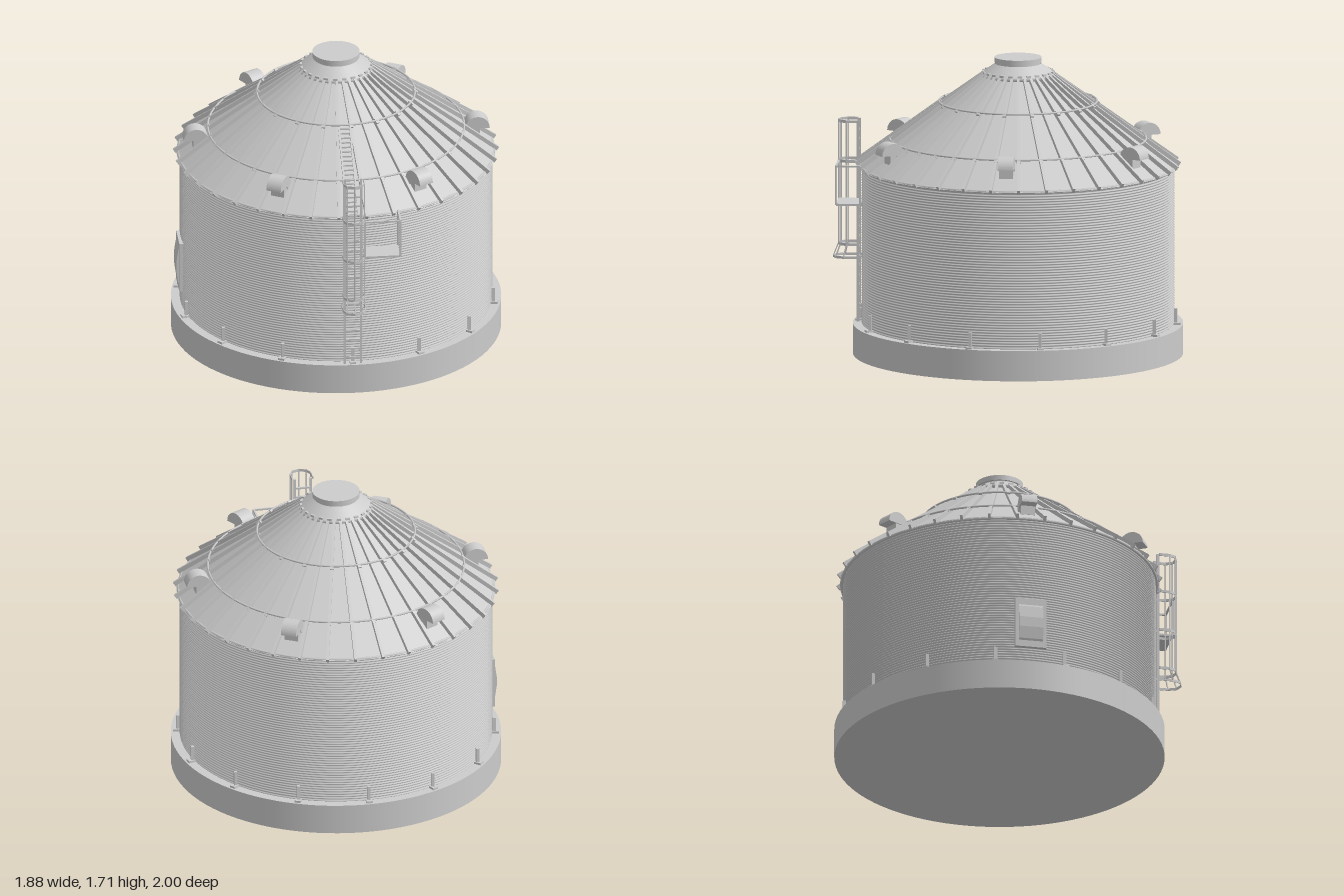
import * as THREE from 'three';

const mat = new THREE.MeshStandardMaterial({ color: 0xcccccc, side: THREE.DoubleSide });
const flat = new THREE.MeshStandardMaterial({ color: 0xcccccc, side: THREE.DoubleSide, flatShading: true });
const V = (x, y, z) => new THREE.Vector3(x, y, z);
const TAU = Math.PI * 2;

function add(parent, name, geo, x = 0, y = 0, z = 0, material = mat) {
  const m = new THREE.Mesh(geo, material);
  m.name = name;
  m.position.set(x, y, z);
  parent.add(m);
  return m;
}

function group(parent, name) {
  const g = new THREE.Group();
  g.name = name;
  parent.add(g);
  return g;
}

// Rectangular bar from a to b, w across and h deep
function bar(parent, name, a, b, w = 0.01, h = w) {
  const m = new THREE.Mesh(new THREE.BoxGeometry(w, h, a.distanceTo(b)), mat);
  m.name = name;
  m.position.copy(a).add(b).multiplyScalar(0.5);
  m.lookAt(b);
  parent.add(m);
}

// Point at angle t round the axis (t = 0 faces the front)
const polar = (r, y, t) => V(Math.sin(t) * r, y, Math.cos(t) * r);

// Roof height at radius r
const EAVE = 0.91, NECK = 0.2, Y0 = 1.083, Y1 = 1.6;
const roofY = r => Y0 + (Y1 - Y0) * (EAVE - r) / (EAVE - NECK);

function buildShell(root) {
  add(root, 'foundation', new THREE.CylinderGeometry(0.94, 0.94, 0.175, 96), 0, 0.0875, 0);

  // Corrugated wall
  const profile = [], waves = 60, steps = waves * 4;
  for (let i = 0; i <= steps; i++) {
    profile.push(new THREE.Vector2(0.885 + 0.005 * Math.sin(i / 4 * TAU), 0.175 + 0.91 * i / steps));
  }
  add(root, 'corrugatedWall', new THREE.LatheGeometry(profile, 72));

  // Anchor brackets round the foot of the wall
  const anchors = group(root, 'anchorBrackets');
  for (let i = 0; i < 14; i++) {
    const t = i / 14 * TAU;
    bar(anchors, 'anchorPost', polar(0.9, 0.175, t), polar(0.9, 0.27, t), 0.018);
    const foot = add(anchors, 'anchorFoot', new THREE.BoxGeometry(0.035, 0.012, 0.04));
    foot.position.copy(polar(0.908, 0.181, t));
    foot.rotation.y = t;
  }
}

function buildRoof(root) {
  const roof = group(root, 'roof');
  add(roof, 'roofPanels', new THREE.CylinderGeometry(NECK, EAVE, Y1 - Y0, 36, 1, true, TAU / 72),
    0, (Y0 + Y1) / 2, 0, flat);
  const eave = add(roof, 'eaveRing', new THREE.TorusGeometry(0.895, 0.01, 6, 72), 0, 1.085, 0);
  eave.rotation.x = Math.PI / 2;

  // Raised seams
  for (let i = 0; i < 36; i++) {
    const t = (i + 0.5) / 36 * TAU;
    bar(roof, 'roofRib', polar(0.92, roofY(0.92) + 0.012, t), polar(0.2, roofY(0.2) + 0.008, t), 0.016, 0.028);
  }

  // Walk rings with clamps
  for (const [r, y, clamps] of [[0.45, 1.455, 18], [0.73, 1.24, 36]]) {
    const ring = add(roof, 'roofRing', new THREE.TorusGeometry(r, 0.006, 6, 72), 0, y, 0);
    ring.rotation.x = Math.PI / 2;
    for (let i = 0; i < clamps; i++) {
      const t = (Math.floor(i * 36 / clamps) + 0.5) / 36 * TAU;
      bar(roof, 'ringClamp', polar(r + 0.012, y - 0.014, t), polar(r - 0.012, y + 0.006, t), 0.02, 0.014);
    }
  }

  // Peak collar, lid and bolts
  const cap = [[0.195, 1.595], [0.215, 1.605], [0.205, 1.62], [0.13, 1.672]].map(p => new THREE.Vector2(...p));
  add(roof, 'peakCollar', new THREE.LatheGeometry(cap, 48));
  add(roof, 'peakNeck', new THREE.CylinderGeometry(0.125, 0.125, 0.04, 48), 0, 1.675, 0);
  add(roof, 'peakLid', new THREE.CylinderGeometry(0.135, 0.135, 0.03, 48), 0, 1.694, 0);
  for (let i = 0; i < 24; i++) {
    const t = (i + 0.5) / 24 * TAU;
    const bolt = add(roof, 'collarBolt', new THREE.BoxGeometry(0.026, 0.012, 0.012));
    bolt.position.copy(polar(0.2, 1.625, t));
    bolt.rotation.y = t;
  }
}

// Hooded vents: half discs lying across the slope
function buildVents(root) {
  const vents = group(root, 'roofVents');
  const hood = new THREE.Shape();
  hood.moveTo(0.07, 0);
  hood.absarc(0, 0, 0.07, 0, Math.PI, false);
  hood.lineTo(-0.07, -0.02);
  hood.lineTo(-0.03, -0.02);
  hood.lineTo(-0.02, 0);
  const hoodGeo = new THREE.ExtrudeGeometry(hood, { depth: 0.09, bevelEnabled: false, curveSegments: 14 });
  hoodGeo.translate(0, 0, -0.045);
  for (let i = 0; i < 6; i++) {
    const vent = group(vents, 'roofVent');
    vent.rotation.y = i / 6 * TAU;
    add(vent, 'ventHood', hoodGeo, 0.805, 1.203, 0);
    add(vent, 'ventNeck', new THREE.BoxGeometry(0.07, 0.06, 0.08), 0.785, 1.178, 0);
  }
}

function buildDoor(root) {
  const door = group(root, 'door');
  door.position.x = -0.89;
  add(door, 'doorFrame', new THREE.BoxGeometry(0.04, 0.3, 0.18), 0.005, 0.43, 0);
  // Panel with its upper and lower ends tapering back to the wall
  const side = new THREE.Shape([[0, 0.285], [-0.02, 0.33], [-0.03, 0.4], [-0.03, 0.46], [-0.02, 0.53], [0, 0.575]]
    .map(p => new THREE.Vector2(...p)));
  const panel = new THREE.ExtrudeGeometry(side, { depth: 0.14, bevelEnabled: false });
  add(door, 'doorPanel', panel, 0, 0, -0.07);
}

function buildLadder(root) {
  const ladder = group(root, 'wallLadder');
  for (const s of [-1, 1]) {
    bar(ladder, 'ladderRail', V(s * 0.047, 0.175, 0.91), V(s * 0.047, 1.335, 0.91), 0.012, 0.018);
    for (const y of [0.25, 0.55, 0.85, 1.05]) {
      bar(ladder, 'wallBracket', V(s * 0.047, y, 0.87), V(s * 0.047, y, 0.915), 0.012);
    }
  }
  for (let i = 0; i < 20; i++) {
    const y = 0.21 + i * 0.056;
    bar(ladder, 'ladderRung', V(-0.047, y, 0.91), V(0.047, y, 0.91), 0.01);
  }

  // Safety cage, flared at the bottom
  const cage = group(root, 'safetyCage');
  const hoop = [[-0.06, 0.915], [-0.06, 0.975], [-0.042, 1.012], [0, 1.025], [0.042, 1.012], [0.06, 0.975], [0.06, 0.915]];
  const flare = ([x, z]) => V(x * 1.08, 0.545, 0.915 + (z - 0.915) * 1.27);
  for (const y of [0.62, 0.86, 1.1, 1.33]) {
    for (let i = 0; i < 6; i++) {
      bar(cage, 'cageHoop', V(hoop[i][0], y, hoop[i][1]), V(hoop[i + 1][0], y, hoop[i + 1][1]), 0.004, 0.016);
    }
  }
  hoop.forEach((p, i) => {
    if (i < 6) bar(cage, 'flareHoop', flare(p), flare(hoop[i + 1]), 0.004, 0.014);
    if (i === 0 || i === 6) return;
    bar(cage, 'cageBar', V(p[0], 0.62, p[1]), V(p[0], 1.335, p[1]), 0.007);
    bar(cage, 'flareBar', flare(p), V(p[0], 0.62, p[1]), 0.006);
  });

  // Ladder up the roof slope
  const roofLadder = group(root, 'roofLadder');
  const at = (x, r) => V(x, roofY(r) + 0.025, r);
  for (const x of [-0.032, 0.032]) bar(roofLadder, 'roofLadderRail', at(x, 0.92), at(x, 0.45), 0.01, 0.018);
  for (let i = 0; i < 20; i++) {
    const r = 0.46 + i * 0.024;
    bar(roofLadder, 'roofLadderRung', at(-0.032, r), at(0.032, r), 0.009);
  }
}

// Rest platform beside the ladder
function buildPlatform(root) {
  const platform = group(root, 'restPlatform');
  const x0 = 0.06, x1 = 0.262, z0 = 0.88, z1 = 1.018, y0 = 0.885, y1 = 1.107;
  add(platform, 'platformFloor', new THREE.BoxGeometry(x1 - x0, 0.012, z1 - z0), (x0 + x1) / 2, y0, (z0 + z1) / 2);
  for (const [x, z] of [[x0, z1], [x1, z1], [x1, z0]]) {
    bar(platform, 'railPost', V(x, y0, z), V(x, y1, z), 0.01);
  }
  bar(platform, 'frontRail', V(x0, y1, z1), V(x1, y1, z1), 0.01);
  bar(platform, 'endRail', V(x1, y1, z0), V(x1, y1, z1), 0.01);
}

export function createModel() {
  const model = new THREE.Group();
  model.name = 'storageSilo';
  const root = group(model, 'silo');
  root.position.z = -0.06;
  buildShell(root);
  buildRoof(root);
  buildVents(root);
  buildDoor(root);
  buildLadder(root);
  buildPlatform(root);
  return model;
}
